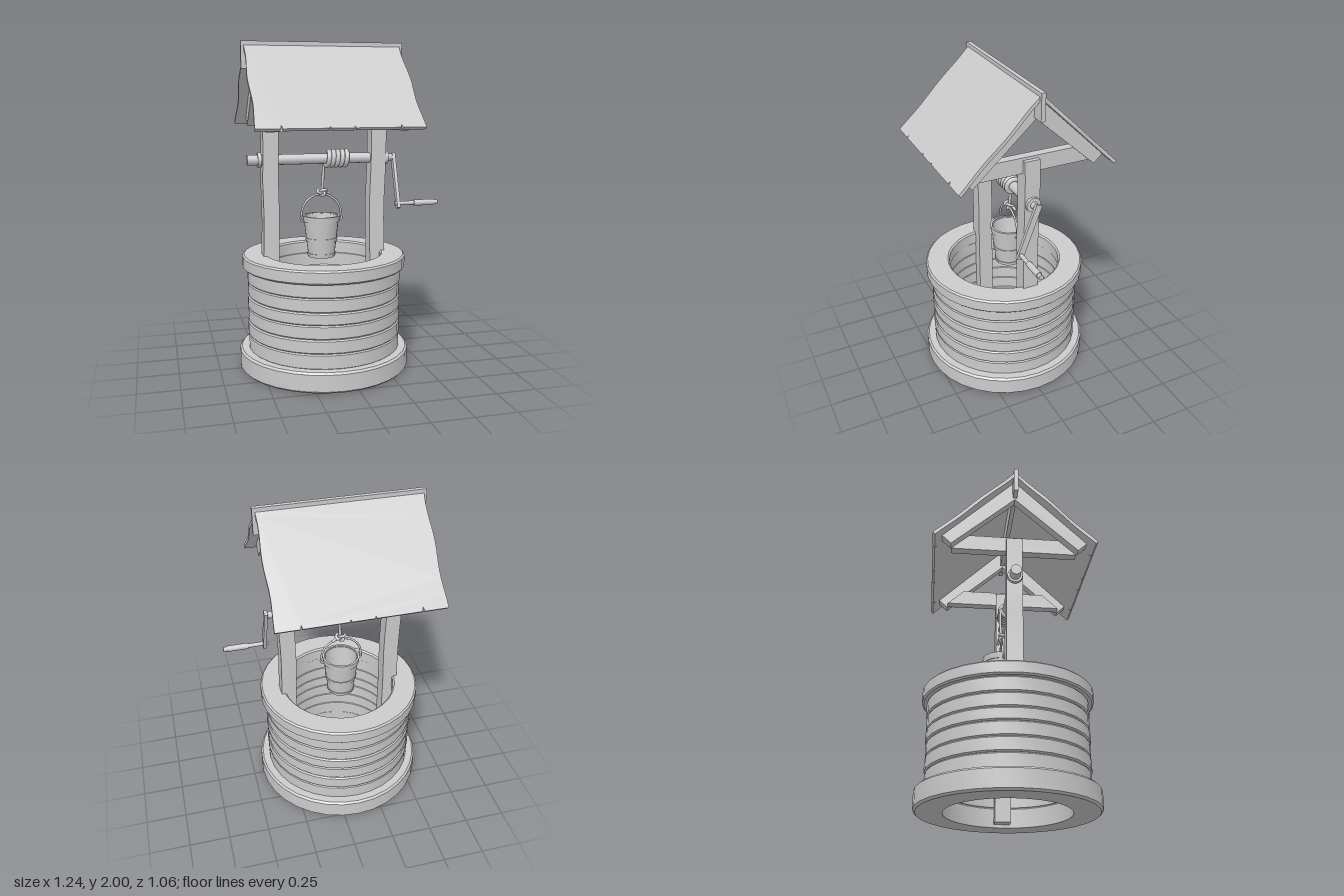
import * as THREE from 'three';
import { toCreasedNormals } from 'three/addons/utils/BufferGeometryUtils.js';

const material = new THREE.MeshStandardMaterial({ color: 0xcccccc });
const V = (x, y, z) => new THREE.Vector3(x, y, z);

function add(parent, name, geometry, x = 0, y = 0, z = 0) {
  const mesh = new THREE.Mesh(geometry, material);
  mesh.name = name;
  mesh.position.set(x, y, z);
  parent.add(mesh);
  return mesh;
}

// Revolved solid from [radius, y] points, with crisp edges
function turned(points, sides) {
  const lathe = new THREE.LatheGeometry(points.map(([r, y]) => new THREE.Vector2(r, y)), sides);
  return toCreasedNormals(lathe, 0.5);
}

// Rectangular-section ring with small bevels, open in the middle
function ringGeometry(inner, outer, y0, y1, b = 0.01) {
  return turned([[inner, y0], [outer - b, y0], [outer, y0 + b], [outer, y1 - b],
    [outer - b, y1], [inner + b, y1], [inner, y1 - b], [inner, y0]], 32);
}

// Rod along x between two positions
function rod(parent, name, x0, x1, radius, y, z, sides = 16) {
  const geometry = new THREE.CylinderGeometry(radius, radius, x1 - x0, sides).rotateZ(Math.PI / 2);
  return add(parent, name, geometry, (x0 + x1) / 2, y, z);
}

function rope(parent, name, points, radius, segments) {
  return add(parent, name, new THREE.TubeGeometry(new THREE.CatmullRomCurve3(points), segments, radius, 8));
}

// Flat outline in z-y, given thickness along x and centred on x = 0
function sidePlate(points, thickness) {
  const shape = new THREE.Shape(points.map(([z, y]) => new THREE.Vector2(-z, y)));
  return new THREE.ExtrudeGeometry(shape, { depth: thickness, bevelEnabled: false })
    .translate(0, 0, -thickness / 2).rotateY(Math.PI / 2);
}

// Stone shaft: base, stacked courses and coping
function buildShaft(parent) {
  add(parent, 'baseRing', ringGeometry(0.365, 0.53, 0, 0.125, 0.012));
  const seams = [0.12, 0.215, 0.3, 0.385, 0.46, 0.545, 0.635];
  for (let i = 0; i < seams.length - 1; i++) {
    add(parent, 'stoneCourse', ringGeometry(0.36, 0.474 + (i % 2) * 0.003, seams[i], seams[i + 1], 0.008));
  }
  add(parent, 'copingRing', ringGeometry(0.355, 0.506, 0.632, 0.715, 0.01));
}

// Slightly crooked post reaching down inside the shaft
function buildPost(parent, side) {
  const geometry = new THREE.BoxGeometry(0.095, 1.55, 0.096, 1, 12, 1);
  const p = geometry.attributes.position;
  for (let i = 0; i < p.count; i++) {
    const y = p.getY(i) + 0.795;
    const bend = y > 0.7 ? Math.sin((y - 0.72) * 7) * 0.006 : 0;
    p.setX(i, p.getX(i) + (side < 0 ? Math.abs(bend) : -bend));
  }
  geometry.computeVertexNormals();
  add(parent, 'post', geometry, side * 0.337, 0.795, 0);
}

// Tie beam with a pair of rafters lapped on its outer face
function buildTruss(parent, side) {
  const tie = sidePlate([[0.375, 1.49], [-0.375, 1.49], [-0.27, 1.587], [0.27, 1.587]], 0.055);
  add(parent, 'tieBeam', tie, side * 0.333, 0, 0);
  for (const s of [1, -1]) {
    const outline = [[0, 1.83], [0, 1.958], [s * 0.432, 1.538], [s * 0.378, 1.488]];
    add(parent, 'rafter', sidePlate(s > 0 ? outline : outline.reverse(), 0.056), side * 0.388, 0, 0);
  }
}

// Roof sheet with wavy gable edges and nicks along the eave
function buildRoof(parent) {
  const length = 0.68, half = 0.48;
  const wave = (t) => Math.sin(t * 11) * 0.005;
  const shape = new THREE.Shape();
  shape.moveTo(-half, 0);
  for (let i = 1; i <= 16; i++) shape.lineTo(-half + wave(i / 16), -length * i / 16);
  for (const x of [-0.34, -0.07, 0.07, 0.34]) {
    const depth = Math.abs(x) > 0.2 ? 0.026 : 0.015;
    shape.lineTo(x - 0.006, -length);
    shape.lineTo(x, -length + depth);
    shape.lineTo(x + 0.006, -length);
  }
  for (let i = 16; i >= 0; i--) shape.lineTo(half - wave(i / 16), -length * i / 16);
  const geometry = new THREE.ExtrudeGeometry(shape, { depth: 0.02, bevelEnabled: false })
    .translate(0, 0, -0.02).rotateX(-0.796).translate(0, 1.988, 0);
  add(parent, 'frontRoofSheet', geometry);
  add(parent, 'backRoofSheet', geometry).rotation.y = Math.PI;
  add(parent, 'ridgeBoard', new THREE.BoxGeometry(0.99, 0.16, 0.026), 0, 1.92, 0);
}

// Winding drum, collars and hand crank
function buildWindlass(parent) {
  const y = 1.3;
  rod(parent, 'axle', -0.47, 0.39, 0.032, y, 0);
  rod(parent, 'axleStub', -0.47, 0.44, 0.022, y, 0);
  for (const side of [1, -1]) rod(parent, 'collar', side * 0.397 - 0.011, side * 0.397 + 0.011, 0.045, y, 0, 20);
  // Crank arm leaning forward
  const armEnd = V(0, -0.285, 0.105);
  const arm = add(parent, 'crankArm', new THREE.BoxGeometry(0.02, armEnd.length() + 0.05, 0.038),
    0.452, y + armEnd.y / 2, armEnd.z / 2);
  arm.rotation.x = -Math.atan2(armEnd.z, -armEnd.y);
  const hy = y + armEnd.y + 0.005, hz = armEnd.z;
  rod(parent, 'handlePin', 0.43, 0.56, 0.013, hy, hz, 12);
  rod(parent, 'handleGrip', 0.555, 0.685, 0.019, hy, hz, 12);
  rod(parent, 'handleTip', 0.685, 0.71, 0.015, hy, hz, 12);
}

// Rope wound on the drum and dropping to the knot
function buildRope(parent, cx, cz) {
  const coil = [], turns = 5, steps = 12;
  for (let i = 0; i <= turns * steps; i++) {
    const a = Math.PI + i / steps * Math.PI * 2;
    coil.push(V(0.015 + 0.14 * i / (turns * steps), 1.3 + Math.sin(a) * 0.044, Math.cos(a) * 0.044));
  }
  rope(parent, 'ropeCoil', coil, 0.0145, 200);
  rope(parent, 'hangingRope', [V(0.015, 1.3, -0.044), V(0.01, 1.2, -0.046), V(cx + 0.005, 1.06, cz)], 0.009, 16);
  // Knot around the bail
  const knot = [];
  for (let i = 0; i <= 24; i++) {
    const t = i / 24 * Math.PI * 2;
    knot.push(V(cx + 0.005 + (Math.sin(t) + 2 * Math.sin(2 * t)) * 0.011,
      1.088 + (Math.cos(t) - 2 * Math.cos(2 * t)) * 0.007, cz - Math.sin(3 * t) * 0.016));
  }
  rope(parent, 'knot', knot, 0.009, 72);
  rope(parent, 'ropeTail', [V(cx + 0.01, 1.09, cz), V(cx + 0.045, 1.083, cz - 0.015), V(cx + 0.062, 1.07, cz - 0.02)], 0.009, 10);
}

// Tapered bucket with hoops and an arched bail
function buildBucket(parent, cx, cz) {
  const bucket = new THREE.Group();
  bucket.name = 'bucket';
  bucket.position.set(cx, 0, cz);
  parent.add(bucket);
  const radiusAt = (y) => 0.082 + (y - 0.68) * 0.115;
  add(bucket, 'pail', turned([[0, 0.68], [0.082, 0.68], [radiusAt(0.935), 0.935],
    [0.1, 0.935], [0.072, 0.7], [0, 0.7]], 24));
  for (const [y0, y1] of [[0.69, 0.705], [0.782, 0.802], [0.905, 0.942]]) {
    const a = radiusAt(y0), b = radiusAt(y1);
    add(bucket, 'hoop', turned([[a - 0.006, y0], [a + 0.005, y0], [b + 0.005, y1], [b - 0.008, y1], [a - 0.006, y0]], 24));
  }
  const bail = [];
  for (let i = 0; i <= 12; i++) {
    const a = Math.PI * i / 12;
    bail.push(V(Math.cos(a) * 0.128, 0.94 + Math.sin(a) * 0.135, 0));
  }
  for (const side of [1, -1]) {
    const hook = [V(side * 0.13, 0.915, 0), V(side * 0.108, 0.905, 0)];
    if (side > 0) bail.unshift(hook[1], hook[0]);
    else bail.push(hook[0], hook[1]);
  }
  rope(bucket, 'bail', bail, 0.007, 60);
}

export function createModel() {
  const model = new THREE.Group();
  model.name = 'well';
  const body = new THREE.Group();
  body.name = 'wellBody';
  body.position.x = -0.09;
  model.add(body);
  buildShaft(body);
  for (const side of [1, -1]) {
    buildPost(body, side);
    buildTruss(body, side);
  }
  buildRoof(body);
  buildWindlass(body);
  buildRope(body, -0.005, -0.037);
  buildBucket(body, -0.005, -0.037);
  return model;
}
